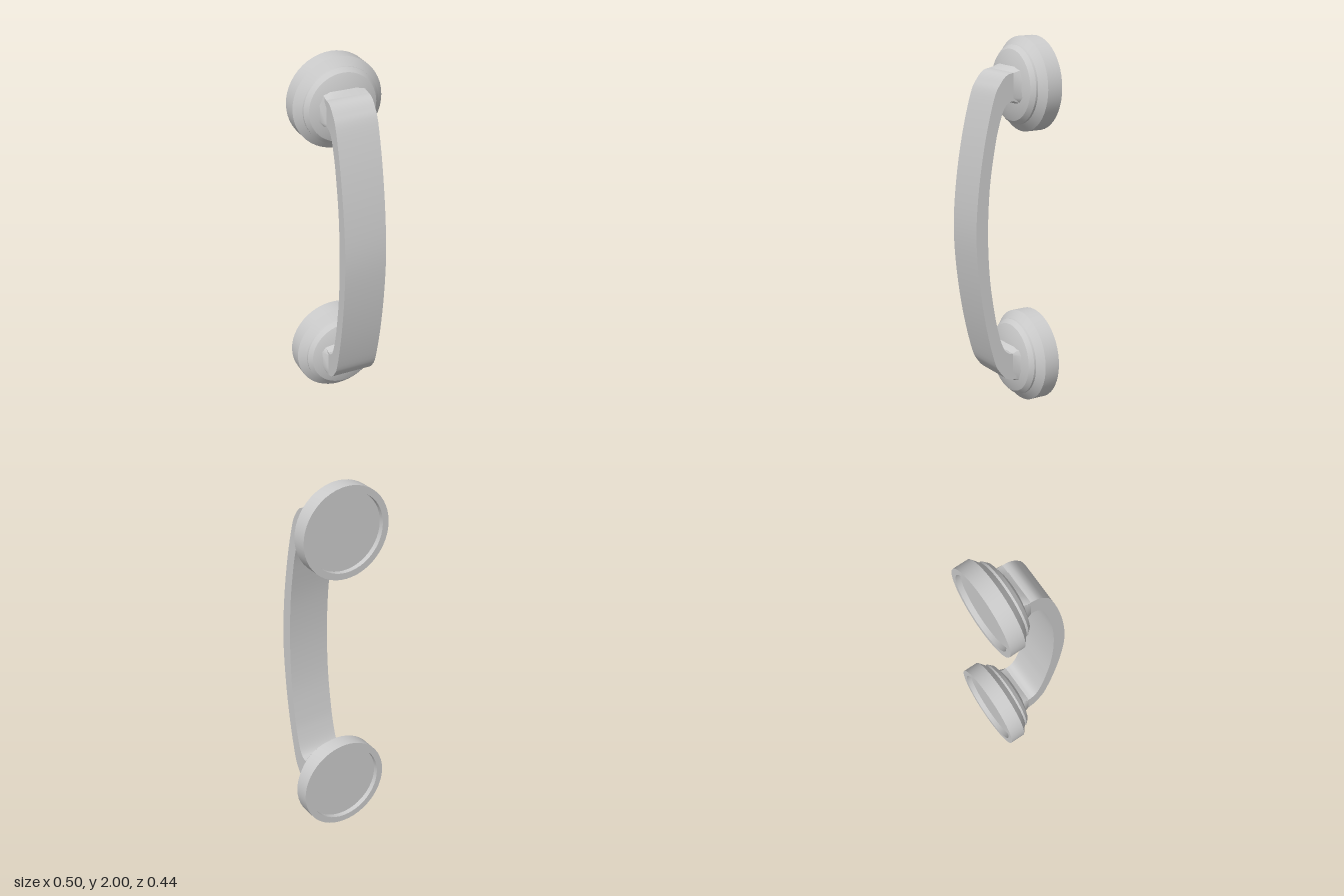
import * as THREE from 'three';
import { toCreasedNormals } from 'three/addons/utils/BufferGeometryUtils.js';

const material = new THREE.MeshStandardMaterial({ color: 0xcccccc });
const v2 = ([x, y]) => new THREE.Vector2(x, y);

function part(name, geometry, crease = 0.5) {
  const mesh = new THREE.Mesh(toCreasedNormals(geometry, crease), material);
  mesh.name = name;
  return mesh;
}

// Curved grip: side outline (z, y) mirrored about y = 1, extruded across x
function grip() {
  const outer = [[-0.03, 1.83], [0, 1.83], [0.035, 1.818], [0.07, 1.78], [0.107, 1.71], [0.16, 1.5], [0.2, 1.25], [0.217, 1]];
  const inner = [[-0.03, 1.685], [0, 1.685], [0.03, 1.672], [0.055, 1.635], [0.08, 1.56], [0.103, 1.46], [0.135, 1.25], [0.147, 1]];
  const smooth = (half) => {
    const mirrored = half.slice(0, -1).reverse().map(([z, y]) => [z, 2 - y]);
    return new THREE.SplineCurve([...half, ...mirrored].map(v2)).getPoints(56);
  };
  const shape = new THREE.Shape([...smooth(outer), ...smooth(inner).reverse()]);
  const geometry = new THREE.ExtrudeGeometry(shape, { depth: 0.234, bevelEnabled: false });
  return part('grip', geometry.translate(0, 0, -0.117).rotateY(-Math.PI / 2));
}

// Collar: loft from a rounded base on the cup to the grip's rectangular section
function collar() {
  const base = [[0.138, -0.05], [0.138, 0.04], [0.115, 0.09], [0.07, 0.11]];
  const tip = [[0.117, -0.05], [0.117, 0.04], [0.117, 0.08], [0.07, 0.08]];
  const lower = { base: [[0.07, -0.09], [0.115, -0.08]], tip: [[0.07, -0.065], [0.117, -0.065]] };
  const ring = (right, z) => [...right, ...right.slice().reverse().map(([x, y]) => [-x, y])]
    .map(([x, y]) => [x, y, z]);
  const a = ring([...lower.base, ...base], -0.05);
  const b = ring([...lower.tip, ...tip], -0.008);
  const n = a.length;
  const index = [];
  for (let i = 0; i < n; i++) {
    const j = (i + 1) % n;
    index.push(i, j, n + j, i, n + j, n + i);
  }
  for (let i = 1; i < n - 1; i++) index.push(n, n + i, n + i + 1);
  const geometry = new THREE.BufferGeometry();
  geometry.setAttribute('position', new THREE.Float32BufferAttribute([...a, ...b].flat(), 3));
  geometry.setIndex(index);
  return part('collar', geometry, 0.7);
}

// Stepped round cup with a shallow recess in its back (radius, z)
function cup() {
  const profile = [
    [0, -0.19], [0.215, -0.19], [0.215, -0.218], [0.25, -0.218], [0.25, -0.132],
    [0.209, -0.098], [0.209, -0.086], [0.188, -0.064], [0.13, -0.043], [0, -0.038],
  ];
  return part('cup', new THREE.LatheGeometry(profile.map(v2), 48).rotateX(Math.PI / 2), 0.4);
}

export function createModel() {
  const model = new THREE.Group();
  model.name = 'handset';
  model.add(grip());
  // Upper end, and the same end turned over for the bottom
  [['upperEnd', 1.75, 0], ['lowerEnd', 0.25, Math.PI]].forEach(([name, y, turn]) => {
    const end = new THREE.Group();
    end.name = name;
    end.add(cup(), collar());
    end.position.y = y;
    end.rotation.z = turn;
    model.add(end);
  });
  return model;
}
